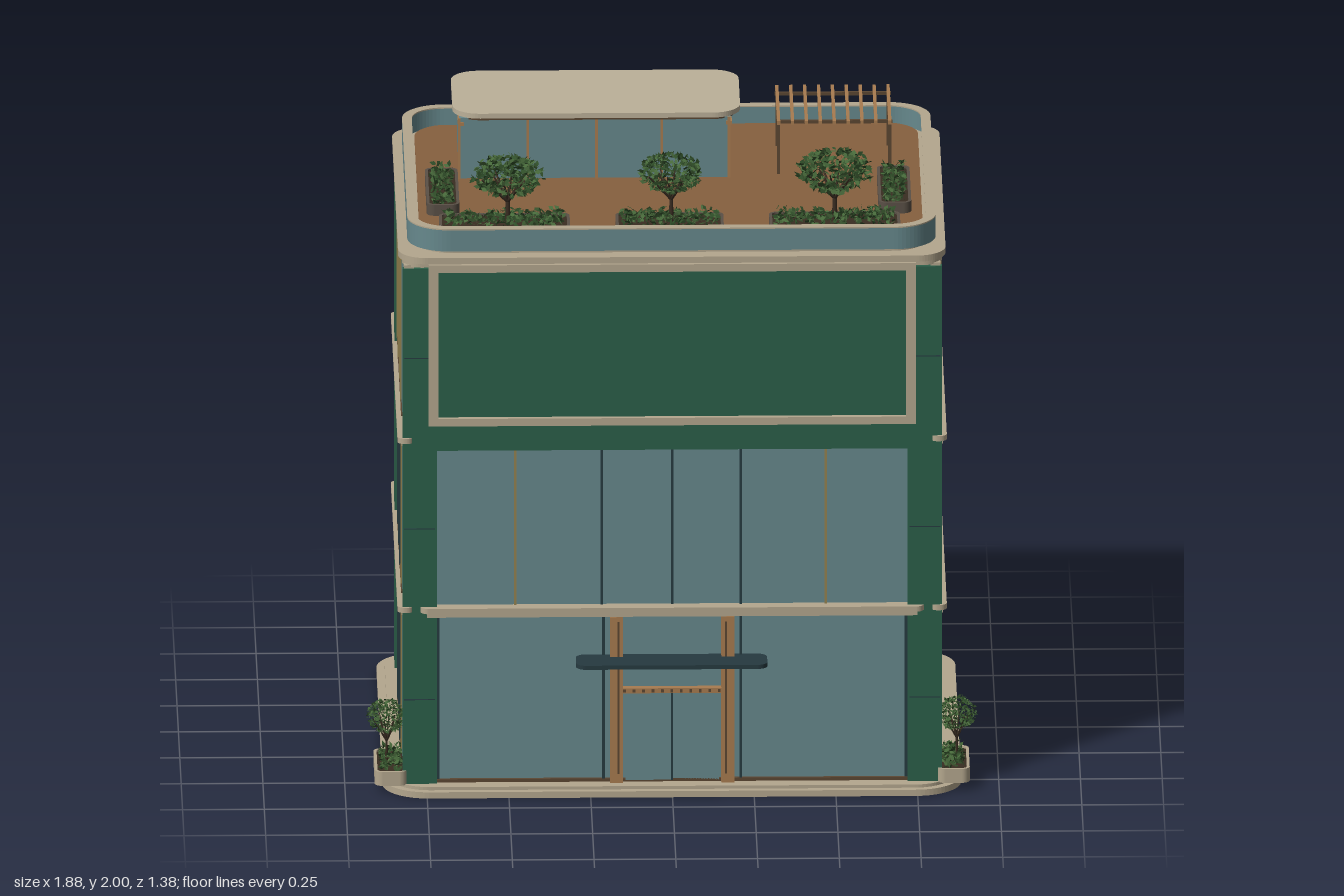
import * as THREE from 'three';

const mat = (color) => new THREE.MeshStandardMaterial({ color, side: THREE.DoubleSide });
const M = {
  stone: mat(0xb4a78e), roof: mat(0xbcb199), green: mat(0x2b5f49), glass: mat(0x67898d),
  wood: mat(0xa87c50), deck: mat(0x87603f), dark: mat(0x263a40), bronze: mat(0x5b4632),
  soil: mat(0x3a2d22), planter: mat(0x5a5046), leafA: mat(0x2f4d28), leafB: mat(0x47693a), gold: mat(0x94824f),
};

let seed = 7;
const rnd = () => (seed = (seed * 16807) % 2147483647) / 2147483647;

export function createModel() {
  const root = new THREE.Group();
  const add = (name, geo, m, parent = root) => {
    const mesh = new THREE.Mesh(geo, m);
    mesh.name = name;
    parent.add(mesh);
    return mesh;
  };
  // box given by its min and max on each axis
  const box = (name, m, x0, x1, y0, y1, z0, z1, parent) =>
    add(name, new THREE.BoxGeometry(x1 - x0, y1 - y0, z1 - z0)
      .translate((x0 + x1) / 2, (y0 + y1) / 2, (z0 + z1) / 2), m, parent);
  const roundRect = (T, x0, x1, z0, z1, r) => {
    const s = new T(), h = Math.PI / 2;
    s.absarc(x1 - r, -z0 - r, r, 0, h);
    s.absarc(x0 + r, -z0 - r, r, h, 2 * h);
    s.absarc(x0 + r, -z1 + r, r, 2 * h, 3 * h);
    s.absarc(x1 - r, -z1 + r, r, 3 * h, 4 * h);
    s.closePath();
    return s;
  };
  // horizontal rounded slab, or a ring when wall thickness t is given
  const slab = (name, m, x0, x1, y0, y1, z0, z1, r, t, parent) => {
    const s = roundRect(THREE.Shape, x0, x1, z0, z1, r);
    if (t) s.holes.push(roundRect(THREE.Path, x0 + t, x1 - t, z0 + t, z1 - t, r - t));
    return add(name, new THREE.ExtrudeGeometry(s, { depth: y1 - y0, bevelEnabled: false, curveSegments: 8 })
      .rotateX(-Math.PI / 2).translate(0, y0, 0), m, parent);
  };
  const rod = (name, m, a, b, r0, r1, parent) => {
    const d = b.clone().sub(a);
    const mesh = add(name, new THREE.CylinderGeometry(r1, r0, d.length(), 6), m, parent);
    mesh.position.copy(a).addScaledVector(d, 0.5);
    mesh.quaternion.setFromUnitVectors(new THREE.Vector3(0, 1, 0), d.normalize());
  };

  // Plinth, floors, back wall
  slab('plinth', M.stone, -0.885, 0.885, 0, 0.02, -0.69, 0.655, 0.14);
  slab('plinthStep', M.stone, -0.86, 0.86, 0.02, 0.03, -0.665, 0.635, 0.12);
  box('backWall', M.stone, -0.82, 0.82, 0.03, 1.7, -0.61, -0.57);
  for (const y of [0.57, 1.1]) box('floorSlab', M.stone, -0.79, 0.79, y, y + 0.02, -0.57, 0.56);

  // Side walls with window openings, glazing, fins and ledges
  for (const s of [-1, 1]) {
    const side = new THREE.Group();
    side.name = s > 0 ? 'leftSide' : 'rightSide';
    root.add(side);
    const sb = (name, m, xa, xb, y0, y1, z0, z1) =>
      box(name, m, Math.min(s * xa, s * xb), Math.max(s * xa, s * xb), y0, y1, z0, z1, side);
    const wall = new THREE.Shape([[-0.57, 0.03], [0.595, 0.03], [0.595, 1.7], [-0.57, 1.7]]
      .map((p) => new THREE.Vector2(-p[0], p[1])));
    for (const [y0, y1, z0] of [[0.04, 0.565, -0.2], [0.605, 1.105, -0.2], [1.12, 1.69, -0.15]])
      wall.holes.push(new THREE.Path([[z0, y0], [z0, y1], [0.46, y1], [0.46, y0]]
        .map((p) => new THREE.Vector2(-p[0], p[1]))));
    add('sideWall', new THREE.ExtrudeGeometry(wall, { depth: 0.03, bevelEnabled: false })
      .rotateY(Math.PI / 2).translate(s > 0 ? 0.79 : -0.82, 0, 0), M.stone, side);
    const rows = [[0.035, 0.57, -0.21, [-0.2, 0, 0.195, 0.39]], [0.6, 1.11, -0.21, [-0.2, 0, 0.195, 0.39]],
      [1.17, 1.69, -0.3, [-0.29, -0.09, 0.115, 0.32]]];
    rows.forEach(([y0, y1, z0, bars], i) => {
      sb('sideGlass', M.glass, 0.81, 0.823, y0, y1, z0, 0.465);
      bars.forEach((z, k) => sb('sideMullion', i === 2 || k === 3 ? M.gold : M.dark, 0.82, 0.828, y0, y1, z - 0.004, z + 0.004));
      sb('sideSill', M.bronze, 0.82, 0.827, y0, y0 + 0.006, z0, 0.465);
    });
    for (const z of [-0.34, -0.375, -0.41, -0.445]) sb('greenFin', M.green, 0.815, 0.833, 0.09, 1.69, z - 0.006, z + 0.006);
    for (const y of [0.3, 0.85, 1.43]) sb('panelJoint', M.bronze, 0.81, 0.8212, y, y + 0.003, -0.6, -0.31);
    for (const y of [0.57, 1.115]) {
      sb('ledgeLower', M.stone, 0.81, 0.828, y, y + 0.015, -0.6, 0.59);
      slab('ledge', M.stone, s > 0 ? 0.79 : -0.84, s > 0 ? 0.84 : -0.79, y + 0.013, y + 0.03, -0.62, 0.61, 0.024, 0, side);
    }
    // Green corner pilaster
    sb('cornerPilaster', M.green, 0.72, 0.825, 0.03, 1.69, 0.58, 0.602);
    for (const y of [0.3, 0.85, 1.4]) sb('pilasterJoint', M.dark, 0.725, 0.82, y, y + 0.003, 0.6, 0.6035);
  }
  for (const y of [0.57, 1.115]) {
    box('backLedge', M.stone, -0.77, 0.77, y, y + 0.015, -0.625, -0.6);
    slab('backLedgeTop', M.stone, -0.79, 0.79, y + 0.013, y + 0.03, -0.645, -0.6, 0.02);
  }

  // Front glazing, mullions and ledge
  box('frontGlassLower', M.glass, -0.72, 0.72, 0.03, 0.575, 0.565, 0.58);
  box('frontGlassUpper', M.glass, -0.72, 0.72, 0.59, 1.12, 0.565, 0.58);
  [-0.48, -0.215, 0, 0.21, 0.47].forEach((x, i) =>
    box('frontMullion', i % 4 ? M.dark : M.gold, x - 0.004, x + 0.004, 0.6, 1.11, 0.575, 0.588));
  for (const x of [-0.715, -0.21, 0.21, 0.715]) box('lowerMullion', M.dark, x - 0.004, x + 0.004, 0.03, 0.57, 0.575, 0.588);
  box('frontSill', M.bronze, -0.72, 0.72, 0.03, 0.04, 0.575, 0.59);
  box('frontLedge', M.stone, -0.75, 0.75, 0.567, 0.585, 0.56, 0.608);
  slab('frontLedgeTop', M.stone, -0.77, 0.77, 0.583, 0.6, 0.55, 0.622, 0.025);

  // Green sign panel with stone frame
  box('greenBand', M.green, -0.72, 0.72, 1.11, 1.2, 0.57, 0.622);
  box('greenPanel', M.green, -0.73, 0.73, 1.19, 1.7, 0.57, 0.61);
  for (const s of [-1, 1]) box('frameSide', M.stone, s * 0.73 - 0.015, s * 0.73 + 0.015, 1.19, 1.71, 0.59, 0.627);
  for (const y of [1.19, 1.685]) box('frameRail', M.stone, -0.745, 0.745, y, y + 0.024, 0.59, 0.627);

  // Entrance and canopy
  for (const s of [-1, 1]) {
    box('doorPost', M.wood, s * 0.17 - 0.02, s * 0.17 + 0.02, 0.03, 0.565, 0.575, 0.606);
    box('doorPostGroove', M.bronze, s * 0.165 - 0.003, s * 0.165 + 0.003, 0.06, 0.55, 0.6, 0.608);
    box('doorLeaf', M.glass, s * 0.073 - 0.07, s * 0.073 + 0.07, 0.035, 0.315, 0.58, 0.59);
  }
  box('doorGap', M.dark, -0.003, 0.003, 0.035, 0.315, 0.585, 0.592);
  box('doorHeader', M.wood, -0.16, 0.16, 0.318, 0.334, 0.575, 0.602);
  for (let i = 0; i < 11; i++) box('dentil', M.bronze, -0.15 + i * 0.029, -0.142 + i * 0.029, 0.321, 0.331, 0.6, 0.604);
  slab('canopy', M.dark, -0.295, 0.29, 0.424, 0.437, 0.58, 0.69, 0.03);

  // Cornice, roof deck and parapet
  slab('corniceLower', M.stone, -0.826, 0.826, 1.695, 1.713, -0.62, 0.605, 0.06);
  slab('cornice', M.stone, -0.837, 0.837, 1.71, 1.73, -0.645, 0.618, 0.09);
  slab('roofSlab', M.stone, -0.78, 0.78, 1.73, 1.742, -0.61, 0.57, 0.11);
  slab('roofDeck', M.deck, -0.77, 0.77, 1.74, 1.75, -0.608, 0.51, 0.11);
  slab('parapet', M.glass, -0.808, 0.808, 1.74, 1.808, -0.617, 0.585, 0.13, 0.012);
  slab('parapetCap', M.stone, -0.808, 0.808, 1.808, 1.812, -0.617, 0.585, 0.13, 0.03);

  // Roof pavilion, open at the back
  const pav = new THREE.Group();
  pav.name = 'pavilion';
  root.add(pav);
  box('pavilionFront', M.glass, -0.64, 0.19, 1.75, 1.945, -0.1, -0.09, pav);
  for (const x of [-0.64, 0.18]) {
    box('pavilionEnd', M.glass, x, x + 0.01, 1.75, 1.945, -0.455, -0.09, pav);
    box('pavilionRail', M.wood, x - 0.004, x + 0.014, 1.92, 1.932, -0.41, -0.085, pav);
  }
  for (const x of [-0.64, -0.43, -0.22, -0.02, 0.185]) box('pavilionMullion', M.wood, x - 0.004, x + 0.004, 1.75, 1.945, -0.095, -0.083, pav);
  slab('pavilionSoffit', M.bronze, -0.645, 0.205, 1.94, 1.95, -0.465, -0.08, 0.07, 0, pav);
  slab('pavilionRoof', M.roof, -0.66, 0.22, 1.95, 1.966, -0.48, -0.065, 0.085, 0, pav);
  box('counter', M.stone, -0.5, -0.36, 1.75, 1.8, -0.43, -0.35, pav);
  box('counterTop', M.bronze, -0.51, -0.35, 1.8, 1.81, -0.44, -0.34, pav);

  // Pergola
  const perg = new THREE.Group();
  perg.name = 'pergola';
  root.add(perg);
  for (const z of [-0.39, -0.12]) {
    box('pergolaBeam', M.bronze, 0.33, 0.685, 1.912, 1.922, z - 0.005, z + 0.005, perg);
    for (const x of [0.337, 0.677]) box('pergolaPost', M.bronze, x - 0.005, x + 0.005, 1.75, 1.915, z - 0.005, z + 0.005, perg);
  }
  for (let i = 0; i < 9; i++) {
    const x = 0.337 + i * 0.0425;
    box('pergolaSlat', M.wood, x - 0.005, x + 0.005, 1.92, 1.932, -0.43, -0.08, perg);
  }

  // Leaves: small random diamonds; place() gives each centre
  const leaves = (n, size, place, parent) => {
    for (const m of [M.leafA, M.leafB]) {
      const pos = [];
      for (let i = 0; i < n / 2; i++) {
        const c = place();
        const dir = () => new THREE.Vector3(rnd() - 0.5, (rnd() - 0.5) * 0.8, rnd() - 0.5).normalize();
        const u = dir().multiplyScalar(size), v = dir().cross(u).multiplyScalar(0.6);
        const [a, b, d, e] = [c.clone().add(u), c.clone().add(v), c.clone().sub(u), c.clone().sub(v)];
        for (const p of [a, b, d, a, d, e]) pos.push(p.x, p.y, p.z);
      }
      const g = new THREE.BufferGeometry();
      g.setAttribute('position', new THREE.Float32BufferAttribute(pos, 3));
      g.computeVertexNormals();
      add('foliage', g, m, parent);
    }
  };
  // Tree with forked trunk and a flattened crown
  const tree = (x, y, z, top, r, crown) => {
    const g = new THREE.Group();
    g.name = 'tree';
    root.add(g);
    const cy = top - crown / 2, fork = new THREE.Vector3(x, y + (cy - y) * 0.45, z);
    rod('trunk', M.soil, new THREE.Vector3(x, y, z), fork, r * 0.08, r * 0.06, g);
    for (let i = 0; i < 8; i++) {
      const a = i * 0.785 + 0.3, k = r * (i % 2 ? 0.75 : 0.4);
      rod('branch', M.soil, fork, new THREE.Vector3(x + Math.cos(a) * k, cy, z + Math.sin(a) * k), r * 0.045, r * 0.02, g);
    }
    leaves(520, r * 0.11, () => {
      const a = rnd() * 6.283, h = rnd() * 2 - 1, q = (0.55 + 0.4 * rnd()) * r * Math.sqrt(1 - h * h * 0.8);
      return new THREE.Vector3(x + Math.cos(a) * q, cy + h * crown * 0.46, z + Math.sin(a) * q);
    }, g);
  };
  // Planter trough with low shrubs
  const planter = (x0, x1, y, h, z0, z1, m) => {
    const g = new THREE.Group();
    g.name = 'planter';
    root.add(g);
    slab('trough', m, x0, x1, y, y + h, z0, z1, 0.025, 0.009, g);
    slab('soil', M.soil, x0 + 0.008, x1 - 0.008, y, y + h - 0.006, z0 + 0.008, z1 - 0.008, 0.018, 0, g);
    leaves(Math.round((x1 - x0) * (z1 - z0) * 7500), 0.012, () => new THREE.Vector3(
      x0 + 0.018 + rnd() * (x1 - x0 - 0.036), y + h + rnd() * 0.03 - 0.006, z0 + 0.018 + rnd() * (z1 - z0 - 0.036)), g);
  };
  planter(-0.71, -0.31, 1.75, 0.035, 0.35, 0.49, M.planter);
  planter(-0.17, 0.16, 1.75, 0.035, 0.35, 0.49, M.planter);
  planter(0.3, 0.7, 1.75, 0.035, 0.35, 0.49, M.planter);
  planter(-0.745, -0.645, 1.75, 0.035, -0.09, 0.27, M.planter);
  planter(0.637, 0.737, 1.75, 0.035, -0.09, 0.27, M.planter);
  tree(-0.5, 1.78, 0.425, 1.985, 0.12, 0.11);
  tree(0, 1.78, 0.42, 1.99, 0.105, 0.11);
  tree(0.5, 1.78, 0.42, 2.0, 0.125, 0.12);
  for (const s of [-1, 1]) {
    planter(s * 0.86 - 0.05, s * 0.86 + 0.05, 0.028, 0.045, 0.385, 0.615, M.stone);
    tree(s * 0.872, 0.07, 0.505, 0.268, 0.065, 0.1);
  }
  return root;
}
